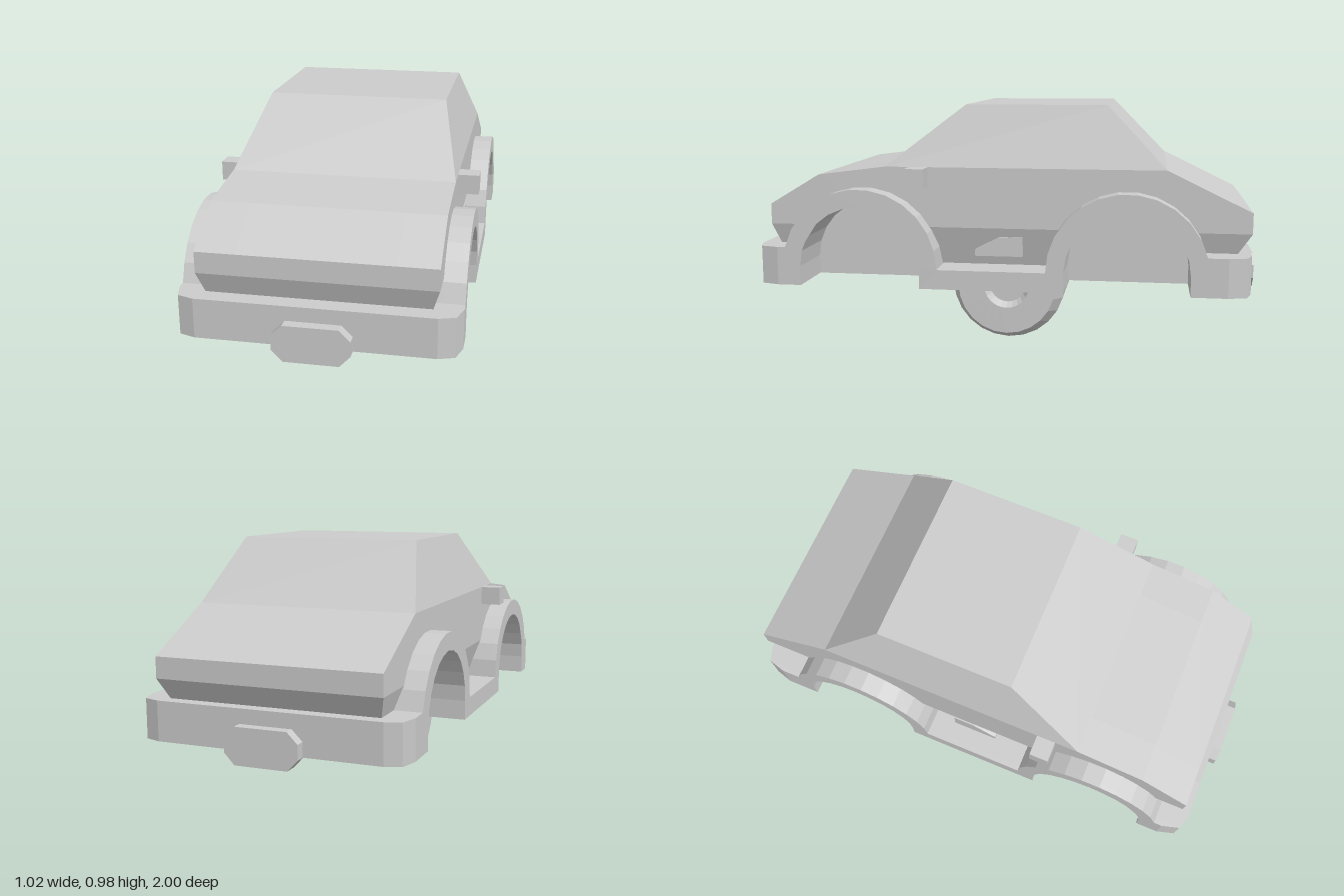
import * as THREE from 'three';

const WELL = 0.28;                    // inner wall of the wheel wells
const BODY = 0.43;                    // half width of the body
const ARCH_Y = 0.356, FRONT_Z = 0.54, REAR_Z = -0.495;
const ARCH_OUT = 0.307, ARCH_IN = 0.238, CUT = 0.27;
const material = new THREE.MeshStandardMaterial({ color: 0xcccccc, flatShading: true });

// Points [z, y] on an arch, angles in degrees measured from the front
function arc(cz, r, from, to, n = 12) {
  return Array.from({ length: n + 1 }, (_, i) => {
    const a = THREE.MathUtils.degToRad(from + (to - from) * i / n);
    return [cz + r * Math.cos(a), ARCH_Y + r * Math.sin(a)];
  });
}

// Side profile [z, y] extruded from x0 to x1, with an optional rule moving its vertices
function slab(profile, x0, x1, rule) {
  const shape = new THREE.Shape(profile.map(([z, y]) => new THREE.Vector2(z, y)));
  const geo = new THREE.ExtrudeGeometry(shape, { depth: x1 - x0, bevelEnabled: false });
  geo.rotateY(-Math.PI / 2).translate(x1, 0, 0);
  if (rule) {
    const p = geo.attributes.position, v = new THREE.Vector3();
    for (let i = 0; i < p.count; i++) {
      rule(v.fromBufferAttribute(p, i));
      p.setXYZ(i, v.x, v.y, v.z);
    }
    geo.computeVertexNormals();
  }
  return geo;
}

function add(parent, name, geo) {
  const mesh = new THREE.Mesh(geo, material);
  mesh.name = name;
  parent.add(mesh);
  return mesh;
}

// The same slab on both sides of the car
function addPair(parent, name, profile, a, b, rule) {
  add(parent, name + 'Left', slab(profile, a, b, rule));
  add(parent, name + 'Right', slab(profile, -b, -a, rule));
}

function addChassis(car) {
  const chassis = new THREE.Group();
  chassis.name = 'chassis';
  car.add(chassis);

  add(chassis, 'floor', slab([[0.96, 0.28], [0.96, 0.43], [-0.96, 0.43], [-0.96, 0.28]], -WELL, WELL));

  // Bumper ends, sill and wheel arches in one outline
  const opening = cz => [[cz - ARCH_IN, 0.28], ...arc(cz, ARCH_IN, 180, 0), [cz + ARCH_IN, 0.28]];
  const profile = [
    [0.96, 0.28], [0.96, 0.43],
    ...arc(FRONT_Z, ARCH_OUT, 14, 180),
    ...arc(REAR_Z, ARCH_OUT, 0, 166),
    [-0.96, 0.43], [-0.96, 0.28],
    ...opening(REAR_Z), ...opening(FRONT_Z),
  ];
  addPair(chassis, 'innerFender', profile, WELL, BODY);

  // Outer layers step inward in z to chamfer the bumper corners
  const endAt = x => (x > 0.5 ? 0.87 : x > 0.48 ? 0.94 : 0.96);
  const chamfer = v => {
    if (Math.abs(v.z) > 0.9) v.z = Math.sign(v.z) * endAt(Math.abs(v.x));
  };
  addPair(chassis, 'fender', profile, BODY, 0.49, chamfer);
  addPair(chassis, 'fenderFace', profile, 0.49, 0.51, chamfer);
}

function addBody(car) {
  const body = new THREE.Group();
  body.name = 'body';
  car.add(body);

  // Lower body: slopes inward below the waist
  const tuck = v => {
    if (Math.abs(v.x) > 0.35) v.x = Math.sign(v.x) * (BODY - (0.51 - v.y) * 0.31);
  };
  const nose = [0.865, 0.36], noseTop = [0.92, 0.51];
  const tail = [-0.867, 0.36], tailTop = [-0.96, 0.51];
  add(body, 'lowerCore', slab([nose, noseTop, tailTop, tail], -WELL, WELL));
  const w = THREE.MathUtils.radToDeg(Math.asin((0.51 - ARCH_Y) / CUT));
  const low = 0.85;
  addPair(body, 'noseSide', [nose, noseTop, ...arc(FRONT_Z, CUT, w, low, 4)], WELL, BODY, tuck);
  addPair(body, 'lowerDoor',
    [...arc(FRONT_Z, CUT, 180 - w, 180 - low, 4), ...arc(REAR_Z, CUT, low, w, 4)], WELL, BODY, tuck);
  addPair(body, 'tailSide', [...arc(REAR_Z, CUT, 180 - w, 180 - low, 4), tail, tailTop], WELL, BODY, tuck);

  // Middle body: bonnet, doors and boot
  const top = [noseTop, [0.92, 0.59], [0.72, 0.71], [0.45, 0.745], [-0.64, 0.745], [-0.96, 0.59], tailTop];
  add(body, 'bonnetAndBoot', slab(top, -WELL, WELL));
  addPair(body, 'bodySide',
    [...top, ...arc(REAR_Z, CUT, 180 - w, w, 8), ...arc(FRONT_Z, CUT, 180 - w, w, 8)], WELL, BODY);

  // Cabin narrowing to the roof
  add(body, 'cabin', slab([[0.45, 0.745], [0.14, 0.985], [-0.41, 0.985], [-0.64, 0.745]], -BODY, BODY, v => {
    if (v.y > 0.9) v.x = Math.sign(v.x) * 0.355;
  }));

  // Door mirrors and side scoops
  addPair(body, 'mirror', [[0.28, 0.67], [0.355, 0.67], [0.355, 0.745], [0.28, 0.745]], 0.42, 0.51);
  addPair(body, 'sideScoop',
    [[0.095, 0.4], [0.095, 0.425], [0, 0.475], [-0.09, 0.475], [-0.09, 0.4]], 0.37, 0.428);
}

// Eight-sided plates on both bumpers
function addPlates(car) {
  const corners = [[0.14, 0.28], [0.14, 0.335], [0.1, 0.375], [-0.1, 0.375],
    [-0.14, 0.335], [-0.14, 0.28], [-0.1, 0.238], [0.1, 0.238]];
  const shape = new THREE.Shape(corners.map(([x, y]) => new THREE.Vector2(x, y)));
  for (const [name, z] of [['frontPlate', 0.95], ['rearPlate', -1]]) {
    add(car, name, new THREE.ExtrudeGeometry(shape, { depth: 0.05, bevelEnabled: false })).position.z = z;
  }
}

// Twin rollers under the middle of the floor
function addWheels(car) {
  const profile = [[0, 0], [0.22, 0], [0.235, 0.04], [0.235, 0.16], [0.2, 0.237],
    [0.093, 0.237], [0.075, 0.2], [0, 0.2]].map(([r, x]) => new THREE.Vector2(r, x));
  for (const [side, s] of [['Left', 1], ['Right', -1]]) {
    const wheel = add(car, 'wheel' + side, new THREE.LatheGeometry(profile, 24));
    wheel.position.y = 0.238;
    wheel.rotation.z = -s * Math.PI / 2;
    add(car, 'axleBlock' + side, new THREE.BoxGeometry(0.1, 0.06, 0.09)).position.set(s * 0.195, 0.268, 0);
  }
}

export function createModel() {
  const car = new THREE.Group();
  car.name = 'toyCar';
  addChassis(car);
  addBody(car);
  addPlates(car);
  addWheels(car);
  return car;
}
